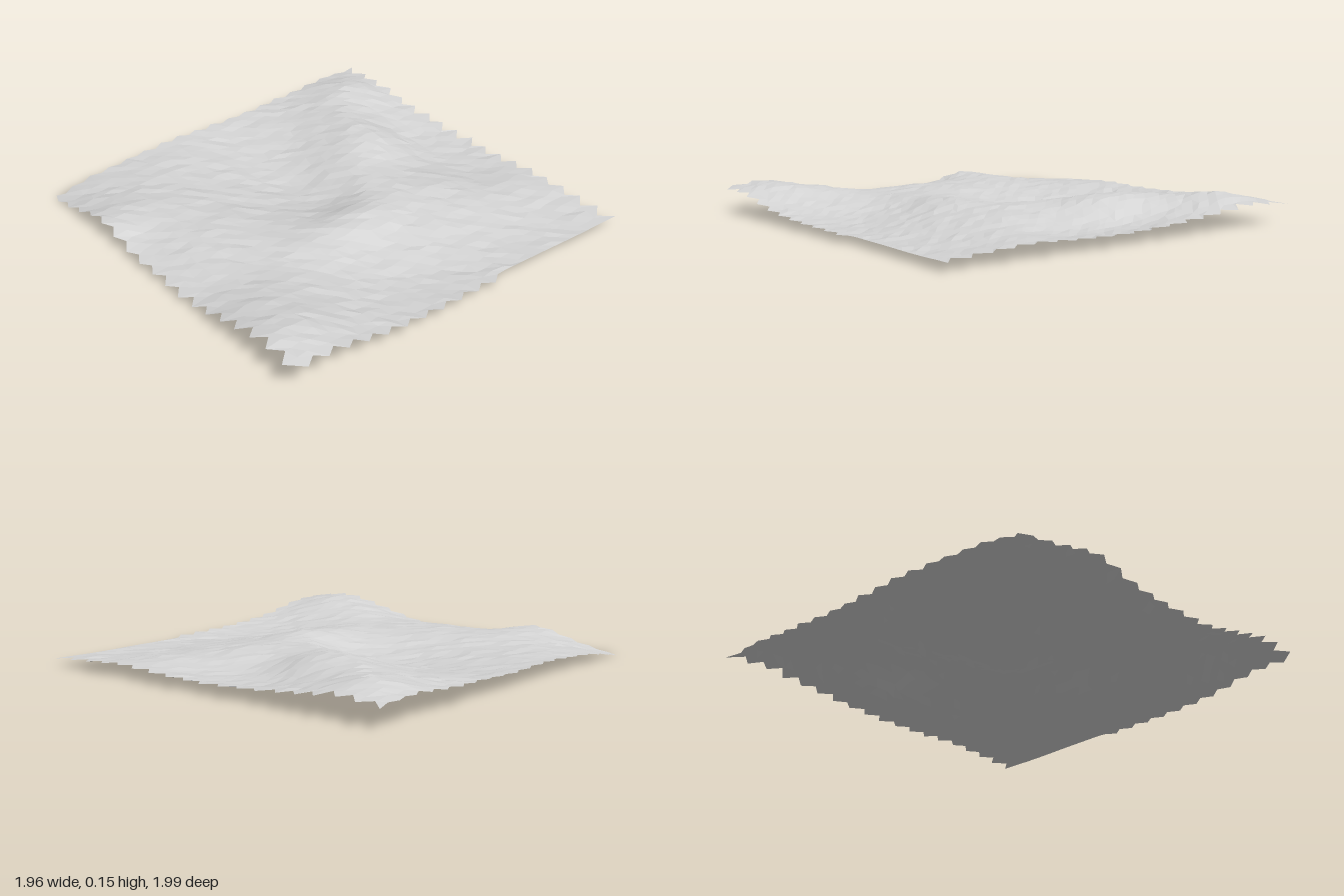
import * as THREE from 'three';

// Coarse terrain heights in hundredths: rows run back to front, columns left to right (-x to +x)
const HEIGHTS = [
  [10.5, 11.5, 9, 7.5, 6.5, 6.5, 7.5, 6.5, 5],
  [11.2, 15.5, 11, 6.5, 4.5, 5.5, 7.5, 5, 4.5],
  [9.5, 11.8, 14.5, 15, 9, 10, 8, 5, 4.5],
  [8.8, 8.5, 8.5, 11.2, 11.5, 11.5, 8.2, 4.5, 4.5],
  [8.2, 5.8, 4, 3, 5.5, 12.8, 7, 3.5, 5],
  [8.5, 7.5, 6, 5.5, 7.2, 10.5, 6, 4.2, 5.5],
  [7, 8, 8.5, 9, 9.5, 9, 8.5, 8, 7.5],
  [4.5, 7, 10, 9, 9, 8.5, 12, 14.3, 12],
  [0, 4.5, 10.5, 5, 4, 4.5, 10, 15, 12.5],
];

// Smooth curve through four neighbouring values
function spline(a, b, c, d, t) {
  return b + 0.5 * t * (c - a + t * (2 * a - 5 * b + 4 * c - d + t * (3 * (b - c) + d - a)));
}

function sampleRow(get, u) {
  const i = Math.min(7, Math.max(0, Math.floor(u)));
  const at = (k) => get(Math.min(8, Math.max(0, k)));
  return spline(at(i - 1), at(i), at(i + 1), at(i + 2), u - i);
}

function heightAt(x, z) {
  const u = THREE.MathUtils.clamp((x + 1) * 4, 0, 8);
  const v = THREE.MathUtils.clamp((z + 1) * 4, 0, 8);
  return sampleRow((r) => sampleRow((c) => HEIGHTS[r][c], u), v) / 100;
}

// Seeded random number in -1..1
function makeRandom(seed) {
  return () => {
    seed = (seed * 16807) % 2147483647;
    return (seed / 2147483647) * 2 - 1;
  };
}

function terrainGeometry(cells) {
  const random = makeRandom(77);
  const geometry = new THREE.PlaneGeometry(1.93, 1.93, cells, cells).rotateX(-Math.PI / 2);
  const position = geometry.attributes.position;
  const row = cells + 1;
  for (let k = 0; k < position.count; k++) {
    const i = k % row, j = Math.floor(k / row);
    let x = position.getX(k), z = position.getZ(k);
    const inside = i > 0 && j > 0 && i < cells && j < cells;
    if (inside) {
      x += random() * 0.01;
      z += random() * 0.01;
    }
    // Torn, saw-toothed borders, with a straight run along the back of the right side
    const toothX = i % 2 ? 1 : -1, toothZ = j % 2 ? 1 : -1;
    if (j === 0) z += 0.005 + toothX * 0.03 + random() * 0.008;
    if (j === cells) z += toothX * (0.01 + 0.01 * (x + 1)) + random() * 0.004;
    if (i === 0) x += toothZ * 0.012 + random() * 0.008;
    if (i === cells) x += z < -0.25 ? 0.005 - 0.045 * (z + 1) : toothZ * 0.02 - 0.005;
    const roughness = inside ? random() * 0.004 : 0;
    position.setXYZ(k, x, Math.max(0, heightAt(x, z) + roughness), z);
  }
  // Separate faces give each facet its own flat normal
  const faceted = geometry.toNonIndexed();
  faceted.computeVertexNormals();
  return faceted;
}

export function createModel() {
  const group = new THREE.Group();
  group.name = 'terrainPatch';
  const stone = new THREE.MeshStandardMaterial({ color: 0xd4d4d4, side: THREE.DoubleSide });
  stone.name = 'paleGreyStone';

  // Thin open sheet of rolling, faceted ground
  const ground = new THREE.Mesh(terrainGeometry(36), stone);
  ground.name = 'groundSurface';
  group.add(ground);
  return group;
}
